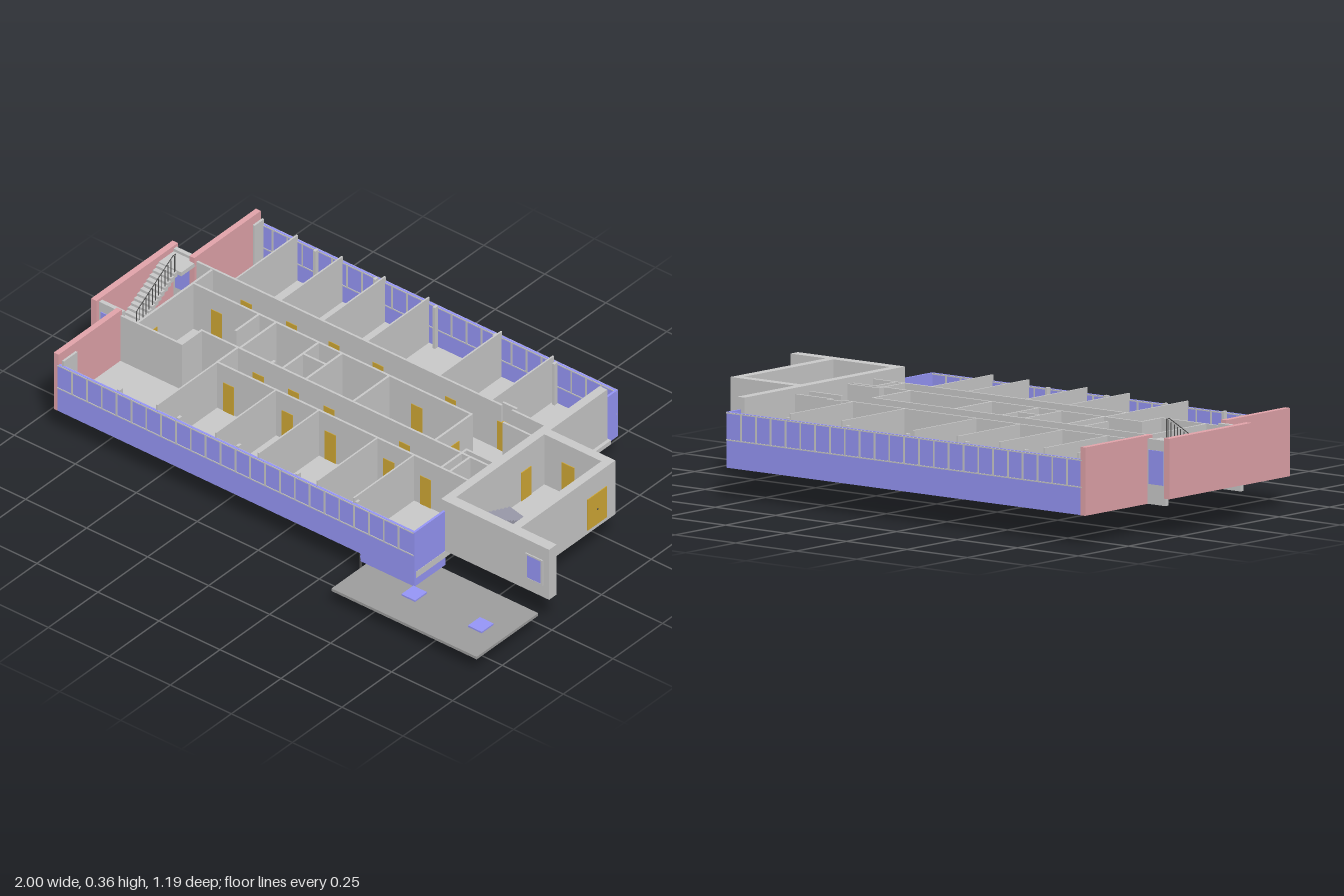
import * as THREE from 'three';

const mat = (color) => new THREE.MeshStandardMaterial({ color });
const GREY = mat(0xcccccc), DARK = mat(0x9f9f9f), BLUE = mat(0x9898fa);
const PINK = mat(0xe4a6ac), GOLD = mat(0xd2aa36), STEEL = mat(0x555555), STAIR = mat(0x9a9aaa);

export function createModel() {
  const root = new THREE.Group();
  root.name = 'buildingStorey';

  const group = (name) => {
    const g = new THREE.Group();
    g.name = name;
    root.add(g);
    return g;
  };
  const add = (parent, name, geo, m) => {
    const mesh = new THREE.Mesh(geo, m);
    mesh.name = name;
    parent.add(mesh);
    return mesh;
  };
  // Box given by its limits on each axis
  const box = (parent, name, [x0, x1], [y0, y1], [z0, z1], m = GREY) => {
    const mesh = add(parent, name, new THREE.BoxGeometry(x1 - x0, y1 - y0, z1 - z0), m);
    mesh.position.set((x0 + x1) / 2, (y0 + y1) / 2, (z0 + z1) / 2);
    return mesh;
  };
  // Horizontal slab from a plan outline of [x, z] points, with an optional hole
  const slab = (parent, name, pts, [y0, y1], m, hole) => {
    const toPath = (p) => p.map(([x, z]) => new THREE.Vector2(x, z));
    const shape = new THREE.Shape(toPath(pts));
    if (hole) shape.holes.push(new THREE.Path(toPath(hole)));
    const geo = new THREE.ExtrudeGeometry(shape, { depth: y1 - y0, bevelEnabled: false });
    geo.rotateX(Math.PI / 2).translate(0, y1, 0);
    return add(parent, name, geo, m);
  };
  // Thin bar between two points
  const bar = (parent, name, a, b, m = STEEL, r = 0.0015) => {
    const p = new THREE.Vector3(...a), q = new THREE.Vector3(...b);
    const mesh = add(parent, name, new THREE.CylinderGeometry(r, r, p.distanceTo(q), 6), m);
    mesh.position.copy(p).add(q).multiplyScalar(0.5);
    mesh.quaternion.setFromUnitVectors(new THREE.Vector3(0, 1, 0), q.sub(p).normalize());
  };

  // Floors and the thin ceiling panels under them
  const floors = group('floors');
  box(floors, 'mainFloor', [-0.89, 0.575], [0.1, 0.125], [-0.59, 0.41]);
  box(floors, 'ceilingPanel', [-0.75, 0.5], [0.092, 0.095], [-0.27, 0.105], DARK);
  box(floors, 'backLedge', [0.555, 0.6], [0.11, 0.125], [-0.54, -0.24]);
  const well = [[0.82, -0.09], [0.73, -0.02], [0.718, -0.032], [0.692, -0.032], [0.68, -0.01],
    [0.68, 0.12], [0.692, 0.14], [0.718, 0.14], [0.73, 0.13], [0.82, 0.15]];
  slab(floors, 'stairHallFloor', [[0.57, -0.245], [0.85, -0.245], [0.85, 0.24], [0.57, 0.24]],
    [0.11, 0.125], GREY, well);

  // Glazed facades: blue panels with frames on both faces
  const facade = (name, z, x0, x1) => {
    const g = group(name);
    box(g, 'glazing', [x0, x1], [0.1, 0.28], [z - 0.004, z + 0.004], BLUE);
    for (const y of [0.19, 0.277])
      box(g, 'transom', [x0, x1], [y - 0.002, y + 0.002], [z - 0.006, z + 0.006]);
    const n = 24;
    for (let i = 1; i < n; i++) {
      const x = x0 + ((x1 - x0) * i) / n;
      box(g, 'mullion', [x - 0.003, x + 0.003], [0.19, 0.279], [z - 0.006, z + 0.006]);
      if (i % 4 === 0)
        box(g, 'column', [x - 0.005, x + 0.005], [0.125, 0.285],
          z > 0 ? [z - 0.02, z - 0.004] : [z + 0.004, z + 0.02]);
    }
  };
  facade('frontFacade', 0.414, -0.89, 0.57);
  facade('backFacade', -0.594, -0.89, 0.58);
  const ends = group('facadeEnds');
  box(ends, 'frontApron', [0.35, 0.57], [0.07, 0.1], [0.41, 0.418], BLUE);
  box(ends, 'frontEndGlazing', [0.566, 0.574], [0.07, 0.28], [0.262, 0.418], BLUE);
  box(ends, 'backEndGlazing', [0.572, 0.58], [0.1, 0.28], [-0.598, -0.53], BLUE);

  // Coloured end walls
  const pink = group('endWalls');
  box(pink, 'backEndWall', [-0.905, -0.885], [0.1, 0.32], [-0.6, -0.265], PINK);
  box(pink, 'frontEndWall', [-0.905, -0.885], [0.1, 0.32], [0.1, 0.418], PINK);
  box(pink, 'stairEndWall', [-1, -0.978], [0.125, 0.32], [-0.297, 0.113], PINK);

  // Interior walls: each is [x0, x1, z0, z1] of its centre line
  const walls = group('interiorWalls');
  const wall = (x0, x1, z0, z1, t = 0.004) =>
    box(walls, 'partition', [x0 - t, x1 + t], [0.12, 0.3], [z0 - t, z1 + t]);
  const backRooms = [-0.73, -0.545, -0.37, -0.19, 0.107, 0.32];
  const frontRooms = [-0.487, -0.246, -0.07, 0.17, 0.32];
  for (const x of backRooms) wall(x, x, -0.59, -0.28, 0.003);
  for (const x of frontRooms) wall(x, x, 0.108, 0.41, 0.003);
  [
    [-0.885, 0.36, -0.28, -0.28], [0.36, 0.41, -0.295, -0.295], [0.41, 0.56, -0.28, -0.28],
    [-0.885, -0.636, 0.103, 0.103], [-0.487, 0.57, 0.108, 0.108],
    [-0.82, -0.82, -0.27, 0.1], [-0.82, 0.32, -0.18, -0.18], [-0.636, 0.56, 0.004, 0.004],
    [0.32, 0.32, -0.18, 0], [-0.636, -0.636, 0.004, 0.103], [-0.487, -0.487, 0.004, 0.108],
    [-0.305, -0.305, -0.18, 0], [-0.21, -0.21, -0.18, 0], [-0.016, -0.016, -0.18, 0],
    [-0.305, -0.21, -0.1, -0.1], [-0.55, -0.55, -0.18, -0.065], [-0.48, -0.48, -0.18, 0],
    [0.43, 0.56, -0.21, -0.21], [0.43, 0.43, -0.02, 0.108], [0.43, 0.56, -0.02, -0.02],
    [0.465, 0.465, 0.004, 0.108], [-0.87, -0.87, 0.35, 0.41], [-0.87, -0.87, -0.59, -0.55],
  ].forEach((w) => wall(...w));

  // Interior doors
  const doors = group('doors');
  const door = (x, z) => {
    box(doors, 'door', [x - 0.022, x + 0.022], [0.125, 0.235], [z - 0.006, z + 0.006], GOLD);
  };
  backRooms.forEach((x) => door(x + 0.05, -0.28));
  frontRooms.forEach((x) => door(x + 0.05, 0.108));
  [-0.4, -0.255, -0.11, 0.2].forEach((x) => door(x, 0.004));
  [-0.72, 0.1].forEach((x) => door(x, -0.18));
  [[-0.82, -0.23], [-0.82, 0.03], [0.32, -0.09], [0.43, 0.05]].forEach(([x, z]) =>
    box(doors, 'sideDoor', [x - 0.006, x + 0.006], [0.125, 0.235], [z - 0.022, z + 0.022], GOLD));

  // Washroom fixtures either side of the partition
  const fixtures = group('washroomFixtures');
  for (const z of [-0.15, -0.09, -0.03])
    for (const s of [-1, 1]) {
      box(fixtures, 'cistern', [-0.48 + s * 0.01 - 0.005, -0.48 + s * 0.01 + 0.005],
        [0.125, 0.165], [z - 0.011, z + 0.011]);
      const bowl = add(fixtures, 'bowl', new THREE.CylinderGeometry(0.011, 0.007, 0.025, 16), GREY);
      bowl.scale.x = 1.5;
      bowl.position.set(-0.48 + s * 0.031, 0.1375, z);
    }

  // Stair hall at the right end
  const hall = group('stairHall');
  box(hall, 'innerWall', [0.557, 0.588], [0.11, 0.32], [-0.535, 0.23]);
  box(hall, 'frontWall', [0.557, 1], [0.125, 0.32], [0.226, 0.264]);
  box(hall, 'sideWall', [0.822, 0.853], [0.11, 0.32], [-0.24, 0.23]);
  box(hall, 'backWall', [0.588, 0.853], [0.11, 0.32], [-0.25, -0.218]);
  box(hall, 'window', [0.912, 0.968], [0.175, 0.262], [0.223, 0.267], BLUE);
  for (const x of [0.908, 0.972])
    box(hall, 'windowFrame', [x - 0.004, x + 0.004], [0.17, 0.267], [0.222, 0.268]);
  for (const y of [0.172, 0.265])
    box(hall, 'windowFrame', [0.908, 0.972], [y - 0.003, y + 0.003], [0.222, 0.268]);
  box(hall, 'outerDoor', [0.819, 0.856], [0.125, 0.245], [-0.205, -0.108], GOLD);
  box(hall, 'doorSeam', [0.818, 0.857], [0.18, 0.186], [-0.16, -0.154], STEEL);
  box(hall, 'backDoor', [0.66, 0.712], [0.125, 0.245], [-0.253, -0.215], GOLD);
  box(hall, 'innerDoor', [0.554, 0.591], [0.125, 0.235], [-0.15, -0.1], GOLD);

  // Turning stair: right flight descends to the front, left flight climbs to the front
  const stair = group('turningStair');
  const lerp = THREE.MathUtils.lerp;
  const flight = (name, xi, xo, zi, zo, yStart, yEnd, n) => {
    for (let i = 0; i < n; i++) {
      const z = (r, k) => lerp(r[0], r[1], k / n);
      const y = lerp(yStart, yEnd, (i + 0.5) / n);
      slab(stair, name, [[xi, z(zi, i)], [xo, z(zo, i)], [xo, z(zo, i + 1)], [xi, z(zi, i + 1)]],
        [y - 0.015, y], STAIR);
    }
  };
  flight('lowerStep', 0.73, 0.82, [-0.02, 0.13], [-0.09, 0.15], 0.122, 0.045, 11);
  flight('upperStep', 0.68, 0.59, [-0.02, 0.13], [-0.04, 0.18], 0.135, 0.215, 11);
  for (const x of [0.732, 0.818]) {
    bar(stair, 'handrail', [x, 0.102, 0.145], [x, 0.155, -0.02]);
    for (let i = 0; i <= 8; i++) {
      const t = i / 8, z = lerp(0.145, -0.02, t);
      bar(stair, 'baluster', [x, lerp(0.04, 0.1, t), z], [x, lerp(0.102, 0.155, t), z]);
    }
  }

  // Narrow stair tower at the left end
  const tower = group('leftStairTower');
  box(tower, 'frontWall', [-0.978, -0.885], [0.1, 0.31], [0.085, 0.1]);
  box(tower, 'frontWindow', [-0.97, -0.91], [0.165, 0.275], [0.082, 0.103], BLUE);
  box(tower, 'backWall', [-0.978, -0.885], [0.1, 0.31], [-0.29, -0.275]);
  box(tower, 'backWindow', [-0.97, -0.91], [0.165, 0.275], [-0.293, -0.272], BLUE);
  box(tower, 'landing', [-0.978, -0.885], [0.285, 0.3], [-0.275, -0.2]);
  const winders = 5, straight = 13, rise = 0.17 / (winders + straight);
  for (let i = 0; i < winders; i++) {
    const p = (k) => {
      const a = (Math.PI / 2) * (1 + k / winders);
      return [-0.902 + 0.075 * Math.cos(a), 0.005 + 0.08 * Math.sin(a)];
    };
    const y = 0.125 + rise * (i + 1);
    slab(tower, 'winderStep', [[-0.902, 0.005], p(i), p(i + 1)], [y - 0.015, y], GREY);
  }
  for (let i = 0; i < straight; i++) {
    const y = 0.125 + rise * (winders + i + 1), z = 0.005 - i * 0.0158;
    box(tower, 'step', [-0.977, -0.902], [y - 0.018, y], [z - 0.0158, z]);
    bar(tower, 'baluster', [-0.908, y, z - 0.008], [-0.908, y + 0.063, z - 0.008]);
  }
  bar(tower, 'handrail', [-0.908, 0.245, 0], [-0.908, 0.362, -0.185]);
  bar(tower, 'handrailEnd', [-0.908, 0.362, -0.185], [-0.908, 0.362, -0.2]);
  bar(tower, 'endPost', [-0.908, 0.295, -0.2], [-0.908, 0.362, -0.2]);

  // Entrance canopy with two rooflights, a ceiling sheet and a thin post
  const canopy = group('entranceCanopy');
  box(canopy, 'canopyRoof', [0.375, 0.97], [0.06, 0.07], [0.282, 0.592], DARK);
  box(canopy, 'canopyCeiling', [0.42, 0.82], [0.045, 0.048], [0.305, 0.56], DARK);
  for (const x of [0.6, 0.873])
    box(canopy, 'rooflight', [x - 0.028, x + 0.028], [0.058, 0.076], [0.422, 0.482], BLUE);
  box(canopy, 'post', [0.348, 0.354], [0, 0.1], [0.412, 0.418], STEEL);
  return root;
}
